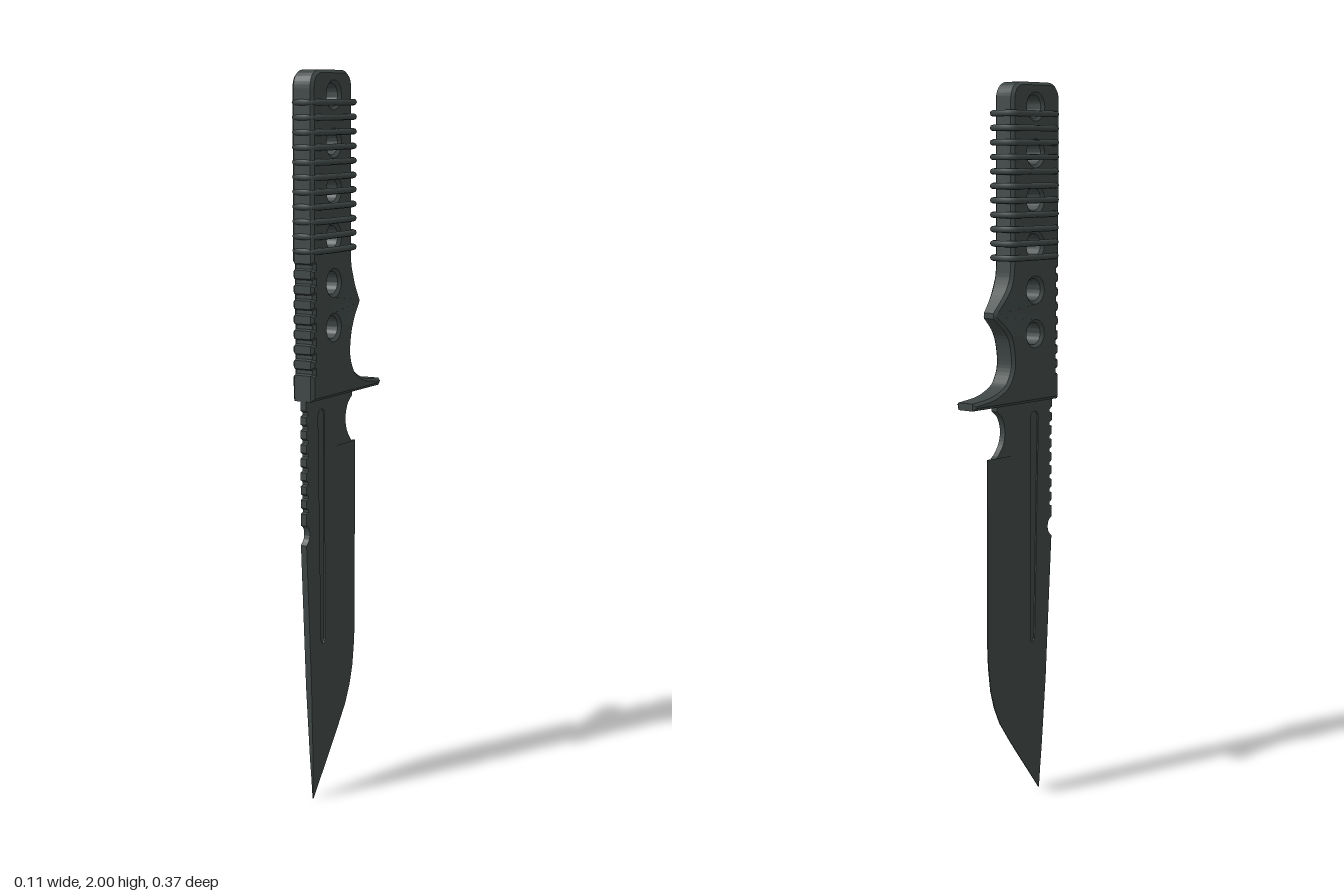
import * as THREE from 'three';
import { toCreasedNormals } from 'three/addons/utils/BufferGeometryUtils.js';

const steel = new THREE.MeshStandardMaterial({ color: 0x3e4645 });
steel.name = 'dark grey steel';

// Extrude a side profile given as (z, y), centred on x = 0
function sidePlate(shape, half, bevel = 0) {
  const g = new THREE.ExtrudeGeometry(shape, {
    depth: 2 * (half - bevel), bevelEnabled: bevel > 0, bevelSize: bevel,
    bevelThickness: bevel, bevelOffset: -bevel, bevelSegments: 1, curveSegments: 20,
  });
  g.translate(0, 0, bevel - half);
  g.rotateY(-Math.PI / 2);
  return g;
}

const points = (list) => list.map(([z, y]) => new THREE.Vector2(z, y));

// Loft through rows of [y, spine z, grind z, edge z, half thickness], top to bottom
function bladeLoft(rows) {
  const pos = [], idx = [], n = 6;
  for (const [y, spine, grind, edge, t] of rows) {
    const e = Math.min(t, 0.0015);
    for (const [x, z] of [[t, spine], [t, grind], [e, edge], [-e, edge], [-t, grind], [-t, spine]]) pos.push(x, y, z);
  }
  for (let r = 0; r < rows.length - 1; r++) {
    for (let i = 0; i < n; i++) {
      const a = r * n + i, b = r * n + (i + 1) % n;
      idx.push(a, a + n, b + n, a, b + n, b);
    }
  }
  const last = (rows.length - 1) * n;
  for (let i = 1; i < n - 1; i++) idx.push(0, i, i + 1, last, last + i + 1, last + i);
  const g = new THREE.BufferGeometry();
  g.setAttribute('position', new THREE.Float32BufferAttribute(pos, 3));
  g.setIndex(idx);
  return toCreasedNormals(g, 0.2);
}

function handleGeometry() {
  const s = new THREE.Shape();
  s.moveTo(0.18, 1.13);
  // thumb notches along the back
  for (let i = 0; i < 8; i++) {
    const y = 1.2 + i * 0.04;
    s.lineTo(0.18, y);
    s.lineTo(0.171, y + 0.004);
    s.lineTo(0.171, y + 0.014);
    s.lineTo(0.18, y + 0.018);
  }
  // rounded pommel
  s.lineTo(0.18, 1.95);
  s.quadraticCurveTo(0.18, 2, 0.13, 2);
  s.lineTo(0.025, 2);
  s.quadraticCurveTo(-0.025, 2, -0.025, 1.95);
  s.lineTo(-0.025, 1.51);
  // finger bump and swept guard
  s.splineThru(points([[-0.03, 1.475], [-0.048, 1.435], [-0.088, 1.385]]));
  s.lineTo(-0.088, 1.37);
  s.splineThru(points([[-0.05, 1.335], [-0.03, 1.3], [-0.022, 1.24], [-0.04, 1.195], [-0.07, 1.173], [-0.115, 1.158], [-0.185, 1.15]]));
  s.lineTo(-0.185, 1.13);
  s.closePath();
  for (const y of [1.935, 1.81, 1.686, 1.562, 1.44, 1.32]) {
    s.holes.push(new THREE.Path().absarc(0.072, y, 0.031, 0, Math.PI * 2, true));
  }
  const g = sidePlate(s, 0.033, 0.008);
  // narrow the finger bump toward its tip
  const p = g.attributes.position;
  for (let i = 0; i < p.count; i++) {
    const y = p.getY(i), z = p.getZ(i);
    if (y > 1.28 && y < 1.5 && z < -0.03) p.setX(i, p.getX(i) * (1 - 0.33 * Math.min(1, (-0.03 - z) / 0.055)));
  }
  return toCreasedNormals(g, 0.5);
}

function spineGeometry() {
  const s = new THREE.Shape();
  s.moveTo(0.178, 1.135);
  // saw notches down the spine
  for (let i = 0; i < 8; i++) {
    const y = 1.105 - i * 0.038;
    s.lineTo(0.177, y);
    s.lineTo(0.167, y - 0.006);
    s.lineTo(0.167, y - 0.013);
    s.lineTo(0.177, y - 0.017);
  }
  // hooked notch
  s.lineTo(0.177, 0.79);
  s.splineThru(points([[0.166, 0.783], [0.16, 0.768], [0.163, 0.75], [0.177, 0.735]]));
  s.lineTo(0.157, 0.4);
  s.lineTo(0.07, 0.4);
  s.lineTo(0.07, 0.985);
  s.lineTo(-0.07, 0.985);
  // choil
  s.splineThru(points([[-0.055, 0.997], [-0.036, 1.025], [-0.03, 1.06], [-0.042, 1.095], [-0.065, 1.115]]));
  s.lineTo(-0.065, 1.135);
  s.closePath();
  // fuller opening
  const f = new THREE.Path();
  f.moveTo(0.116, 1.08);
  f.quadraticCurveTo(0.114, 1.1, 0.099, 1.1);
  f.quadraticCurveTo(0.082, 1.1, 0.082, 1.08);
  f.lineTo(0.082, 0.455);
  f.quadraticCurveTo(0.082, 0.44, 0.092, 0.44);
  f.quadraticCurveTo(0.101, 0.44, 0.102, 0.455);
  f.closePath();
  s.holes.push(f);
  return toCreasedNormals(sidePlate(s, 0.009), 0.5);
}

export function createModel() {
  const model = new THREE.Group();
  model.name = 'knife';
  const add = (geometry, name, parent = model) => {
    const m = new THREE.Mesh(geometry, steel);
    m.name = name;
    parent.add(m);
    return m;
  };

  add(handleGeometry(), 'handleAndGuard');

  // Cord wrap
  const wrap = new THREE.Group();
  wrap.name = 'cordWrap';
  model.add(wrap);
  const half = [[0.015, -0.037], [0.036, -0.026], [0.043, 0], [0.044, 0.065], [0.043, 0.13], [0.033, 0.16], [0.018, 0.176]];
  const loop = [...half, ...half.map(([x, z]) => [-x, z]).reverse()];
  const path = new THREE.CatmullRomCurve3(loop.map(([x, z]) => new THREE.Vector3(x, 0, z)), true);
  const ring = new THREE.TubeGeometry(path, 64, 0.0085, 8, true);
  for (let i = 0; i < 11; i++) add(ring, 'cordLoop', wrap).position.y = 1.53 + i * 0.0386;

  // Blade
  const blade = new THREE.Group();
  blade.name = 'blade';
  model.add(blade);
  add(spineGeometry(), 'bladeSpine', blade);
  const floor = new THREE.BoxGeometry(0.01, 0.68, 0.042);
  floor.translate(0, 0.77, 0.1);
  add(floor, 'fullerFloor', blade);
  add(bladeLoft([
    [0.985, 0.07, 0.05, -0.095, 0.009],
    [0.46, 0.07, 0.05, -0.095, 0.009],
    [0.4, 0.07, 0.05, -0.092, 0.009],
  ]), 'cuttingEdge', blade);
  add(bladeLoft([
    [0.4, 0.157, 0.05, -0.092, 0.009],
    [0.33, 0.153, 0.05, -0.082, 0.009],
    [0.28, 0.15, 0.053, -0.067, 0.008],
    [0.23, 0.147, 0.06, -0.043, 0.007],
    [0.17, 0.143, 0.075, 0.0, 0.006],
    [0.12, 0.14, 0.09, 0.038, 0.005],
    [0.06, 0.136, 0.11, 0.085, 0.003],
    [0, 0.133, 0.132, 0.131, 0.001],
  ]), 'bladeTip', blade);
  return model;
}
